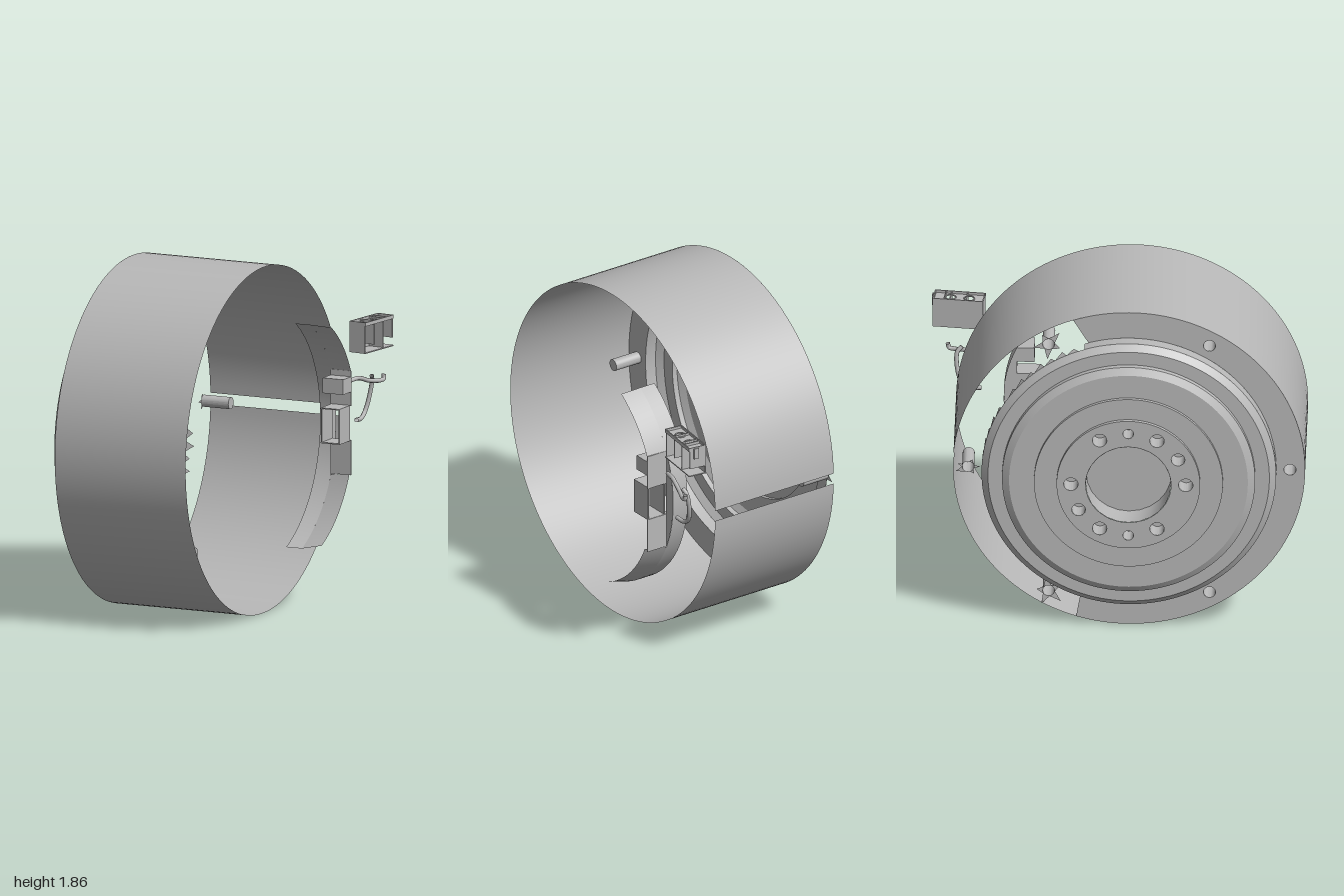
import * as THREE from 'three';
import { toCreasedNormals } from 'three/addons/utils/BufferGeometryUtils.js';

const metal = new THREE.MeshStandardMaterial({ color: 0xb8b8b8, side: THREE.DoubleSide });
metal.name = 'plain grey metal';
const rad = THREE.MathUtils.degToRad;
const V = (x, y, z) => new THREE.Vector3(x, y, z);

function add(parent, name, geometry) {
  const mesh = new THREE.Mesh(geometry, metal);
  mesh.name = name;
  parent.add(mesh);
  return mesh;
}

// Sheet turned about the x axis; profile is [radius, x], angles start at +z
function turned(profile, segments = 128, from = 0, sweep = 360) {
  const pts = profile.map(([r, x]) => new THREE.Vector2(r, x));
  const geo = new THREE.LatheGeometry(pts, segments, rad(from), rad(sweep));
  return toCreasedNormals(geo.rotateZ(-Math.PI / 2), 0.4);
}

// Flat sheet facing -x, drawn in (z, y)
function sheet(shape, x) {
  return new THREE.ShapeGeometry(shape, 64).rotateY(-Math.PI / 2).translate(x, 0, 0);
}

function punch(shape, r, z, y) {
  shape.holes.push(new THREE.Path().absarc(z, y, r, 0, Math.PI * 2, true));
}

// Pressed cup, open to -x and closed at +x
function cup(parent, name, r, x, depth, z, y) {
  add(parent, name, turned([[r, x], [r, x + depth], [0, x + depth]], 24)).position.set(0, y, z);
}

function box(parent, name, w, h, d, x, y, z) {
  const m = add(parent, name, new THREE.BoxGeometry(w, h, d));
  m.position.set(x, y, z);
  return m;
}

function buildDrum() {
  const drum = new THREE.Group();
  drum.name = 'drum';
  const R = 0.932, PLATE = -0.425;

  // Outer band with a narrow slit at the back
  add(drum, 'outerBand', turned([[R, PLATE], [R, 0.347]], 128, 181.8, 356.4));

  // Rim plate, missing at the back
  const rim = new THREE.Shape();
  rim.absarc(0, 0, R, rad(-107.5), rad(108.5), false);
  rim.absarc(0, 0, 0.78, rad(106), rad(-109), true);
  for (const a of [-60, 0, 60]) punch(rim, 0.032, 0.852 * Math.cos(rad(a)), 0.852 * Math.sin(rad(a)));
  add(drum, 'rimPlate', sheet(rim, PLATE));
  add(drum, 'stepWall', turned([[0.78, PLATE], [0.78, -0.49]], 80, -107.5, 215));

  // Stepped face
  add(drum, 'steppedFace', turned([
    [0.78, -0.49], [0.745, -0.52], [0.67, -0.52], [0.67, -0.55], [0.632, -0.573],
    [0.5, -0.573], [0.5, -0.592], [0.38, -0.592], [0.38, -0.612]]));

  // Hub ring with its pressed holes
  const hub = new THREE.Shape().absarc(0, 0, 0.38, 0, Math.PI * 2, false);
  punch(hub, 0.226, 0, 0);
  cup(drum, 'hubRecess', 0.226, -0.612, 0.13, 0, 0);
  const holes = [];
  for (let i = 0; i < 6; i++) holes.push([i * 60, 0.304, 0.038]);
  holes.push([90, 0.304, 0.028], [270, 0.304, 0.028], [30, 0.304, 0.036], [210, 0.304, 0.036]);
  for (const [a, d, r] of holes) {
    const z = d * Math.cos(rad(a)), y = d * Math.sin(rad(a));
    punch(hub, r, z, y);
    cup(drum, 'hubCup', r, -0.612, 0.1, z, y);
  }
  add(drum, 'hubRing', sheet(hub, -0.612));

  // Six rim studs; the three at the back carry ragged stars of sheet
  for (let i = 0; i < 6; i++) {
    const a = rad(i * 60), z = 0.852 * Math.cos(a), y = 0.852 * Math.sin(a);
    cup(drum, 'rimStud', 0.032, PLATE, 0.16, z, y);
    if (i < 2 || i > 4) continue;
    const star = new THREE.Shape();
    for (let k = 0; k < 10; k++) {
      const r = k % 2 ? 0.034 : [0.09, 0.065, 0.085][(k / 2) % 3];
      const sq = i === 3 ? 0.5 : 1, t = rad(k * 36 + i * 25);
      star[k ? 'lineTo' : 'moveTo'](z + r * Math.cos(t), y + r * Math.sin(t) * sq);
    }
    punch(star, 0.031, z, y);
    add(drum, 'raggedStar', sheet(star, PLATE));
  }

  // Torn teeth along the missing step wall
  const teeth = [];
  const ring = (deg, x) => [x, 0.78 * Math.sin(rad(deg)), 0.78 * Math.cos(rad(deg))];
  for (let a = 110; a < 250; a += 5) {
    if (Math.abs(a - 180) < 8 || Math.abs(a - 145) < 5 || Math.abs(a - 215) < 5) continue;
    teeth.push(...ring(a, -0.49), ...ring(a + 5, -0.49), ...ring(a + 2, a % 10 ? -0.43 : -0.445));
  }
  const geo = new THREE.BufferGeometry();
  geo.setAttribute('position', new THREE.Float32BufferAttribute(teeth, 3));
  geo.computeVertexNormals();
  add(drum, 'tornTeeth', geo);

  // Curved bracket beyond the open end, cut away round the flat seat
  add(drum, 'bracketArc', turned([[0.68, 0.347], [0.68, 0.44]], 40, 113.5, 122.5));
  add(drum, 'bracketArcUpper', turned([[0.68, 0.44], [0.675, 0.562]], 16, 204.5, 31.5));
  add(drum, 'bracketArcLower', turned([[0.68, 0.44], [0.65, 0.562]], 16, 113.5, 42));
  return drum;
}

// Flat seat with a window, a block and a square sleeve
function buildSeat() {
  const seat = new THREE.Group();
  seat.name = 'bracketSeat';
  box(seat, 'seatLower', 0.122, 0.19, 0.006, 0.501, 0.75, -0.545);
  box(seat, 'seatUpper', 0.122, 0.19, 0.006, 0.501, 1.122, -0.545);
  box(seat, 'seatBlock', 0.122, 0.082, 0.097, 0.501, 1.145, -0.497);
  for (const y of [0.843, 1.028]) box(seat, 'sleeveFloor', 0.11, 0.006, 0.13, 0.501, y, -0.48);
  for (const x of [0.45, 0.553]) box(seat, 'sleeveSide', 0.006, 0.185, 0.13, x, 0.936, -0.48);
  // Return wall joining the seat to the arc
  const wall = new THREE.Shape().moveTo(-0.545, 0.655).lineTo(-0.545, 1.217);
  for (let a = 24; a >= -24; a -= 6) wall.lineTo(0.07 - 0.68 * Math.cos(rad(a)), 0.932 + 0.68 * Math.sin(rad(a)));
  add(seat, 'seatReturn', sheet(wall, 0.44));
  return seat;
}

// Hollow connector housing, open to +x
function buildConnector() {
  const c = new THREE.Group();
  c.name = 'connector';
  box(c, 'connectorBack', 0.006, 0.165, 0.27, -0.047, 0, 0);
  box(c, 'connectorFloor', 0.1, 0.006, 0.27, 0, -0.08, 0);
  for (const [z, h] of [[-0.132, 0.12], [-0.045, 0.165], [0.04, 0.13], [0.132, 0.165]])
    box(c, 'connectorRib', 0.09, h, 0.006, 0, (0.165 - h) / 2, z);
  // Top with two sockets and a raised lip
  const top = new THREE.Shape().moveTo(-0.05, -0.135).lineTo(0.05, -0.135).lineTo(0.05, 0.135).lineTo(-0.05, 0.135);
  for (const y of [-0.055, 0.045]) punch(top, 0.026, 0, y);
  add(c, 'connectorTop', new THREE.ShapeGeometry(top, 24).rotateX(-Math.PI / 2)).position.y = 0.07;
  for (const z of [-0.045, 0.055])
    add(c, 'socketRing', new THREE.TorusGeometry(0.027, 0.004, 6, 24).rotateX(Math.PI / 2)).position.set(0, 0.072, z);
  for (const x of [-0.048, 0.048]) box(c, 'connectorLip', 0.005, 0.02, 0.27, x, 0.075, 0);
  for (const z of [-0.133, -0.075, 0.133]) box(c, 'connectorLip', 0.1, 0.02, 0.005, 0, 0.075, z);
  box(c, 'connectorClip', 0.03, 0.06, 0.006, 0.01, 0.05, -0.142);
  c.position.set(0.532, 1.363, -0.85);
  c.rotation.y = rad(-7.3);
  return c;
}

function wire(parent, name, points) {
  const path = new THREE.CatmullRomCurve3(points);
  add(parent, name, new THREE.TubeGeometry(path, 32, 0.012, 8, false));
}

export function createModel() {
  const model = new THREE.Group();
  model.name = 'drumAssembly';
  const drum = buildDrum();
  drum.position.set(0, 0.932, 0.07);
  model.add(drum, buildSeat(), buildConnector());

  // Loose leads
  wire(model, 'upperLead', [V(0.5, 1.14, -0.645), V(0.52, 1.145, -0.72), V(0.54, 1.12, -0.8),
    V(0.57, 1.11, -0.88), V(0.575, 1.115, -0.905), V(0.575, 1.14, -0.91)]);
  wire(model, 'lowerLead', [V(0.54, 1.14, -0.835), V(0.53, 1.11, -0.86), V(0.51, 1.0, -0.855),
    V(0.5, 0.94, -0.83), V(0.5, 0.915, -0.79), V(0.5, 0.915, -0.73)]);
  return model;
}
